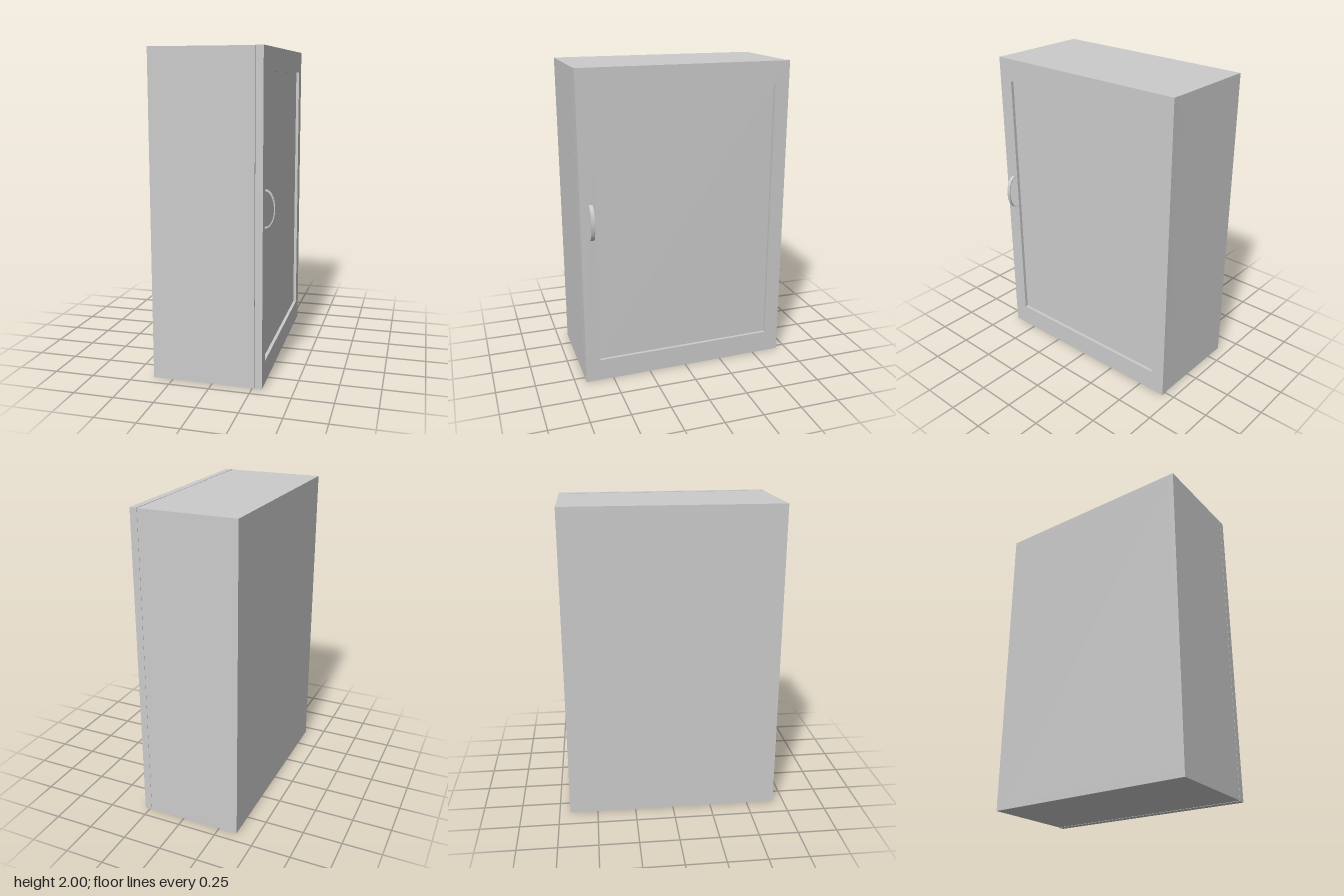
import * as THREE from 'three';

const material = new THREE.MeshStandardMaterial({ color: 0xcccccc, flatShading: true });

function addMesh(parent, name, geometry, x = 0, y = 0, z = 0) {
  const mesh = new THREE.Mesh(geometry, material);
  mesh.name = name;
  mesh.position.set(x, y, z);
  parent.add(mesh);
  return mesh;
}

function rectangle(path, w, h) {
  return path.moveTo(-w / 2, -h / 2).lineTo(w / 2, -h / 2).lineTo(w / 2, h / 2).lineTo(-w / 2, h / 2).closePath();
}

// Rectangular ring standing in the z-y plane, extruded towards +x
function ring(w, h, holeW, holeH, depth) {
  const shape = rectangle(new THREE.Shape(), w, h);
  shape.holes.push(rectangle(new THREE.Path(), holeW, holeH));
  return new THREE.ExtrudeGeometry(shape, { depth, bevelEnabled: false }).rotateY(Math.PI / 2);
}

// Curved strip bowing out along +x, extruded across its width
function bowHandle(halfHeight, reach, thickness, width) {
  const shape = new THREE.Shape();
  const steps = 16;
  for (let i = 0; i <= steps; i++) {
    const a = -Math.PI / 2 + (Math.PI * i) / steps;
    const x = reach * Math.cos(a), y = halfHeight * Math.sin(a);
    i ? shape.lineTo(x, y) : shape.moveTo(x, y);
  }
  for (let i = steps; i >= 0; i--) {
    const a = -Math.PI / 2 + (Math.PI * i) / steps;
    shape.lineTo((reach - thickness) * Math.cos(a), (halfHeight - thickness) * Math.sin(a));
  }
  shape.closePath();
  return new THREE.ExtrudeGeometry(shape, { depth: width, bevelEnabled: false }).translate(0, 0, -width / 2);
}

export function createModel() {
  const model = new THREE.Group();
  model.name = 'cabinet';

  // Carcass: four walls and a back, open towards +x
  const left = -0.372, front = 0.262, wall = 0.04;
  const bodyH = 1.996, bodyD = 1.36;
  addMesh(model, 'carcassWalls', ring(bodyD, bodyH, bodyD - 2 * wall, bodyH - 2 * wall, front - left), left, 1, 0);
  addMesh(model, 'backPanel', new THREE.BoxGeometry(wall, bodyH - 2 * wall, bodyD - 2 * wall), left + wall / 2, 1, 0);

  // Door, hinged at -z and standing slightly ajar
  const doorW = 1.362, doorH = 2, doorT = 0.045, recess = 0.02;
  const openW = 1.172, openH = 1.715;
  const door = new THREE.Group();
  door.name = 'door';
  door.position.set(0.237, 1, -0.682);
  door.rotation.y = 0.0206;
  model.add(door);
  addMesh(door, 'doorFrame', ring(doorW, doorH, openW, openH, doorT), 0, 0, doorW / 2);
  addMesh(door, 'doorPanel', new THREE.BoxGeometry(doorT - recess, openH, openW), (doorT - recess) / 2, 0, doorW / 2);

  // Bow handle on the free edge of the door
  addMesh(door, 'handle', bowHandle(0.113, 0.061, 0.007, 0.024), doorT, 0.078, 1.297);

  return model;
}
